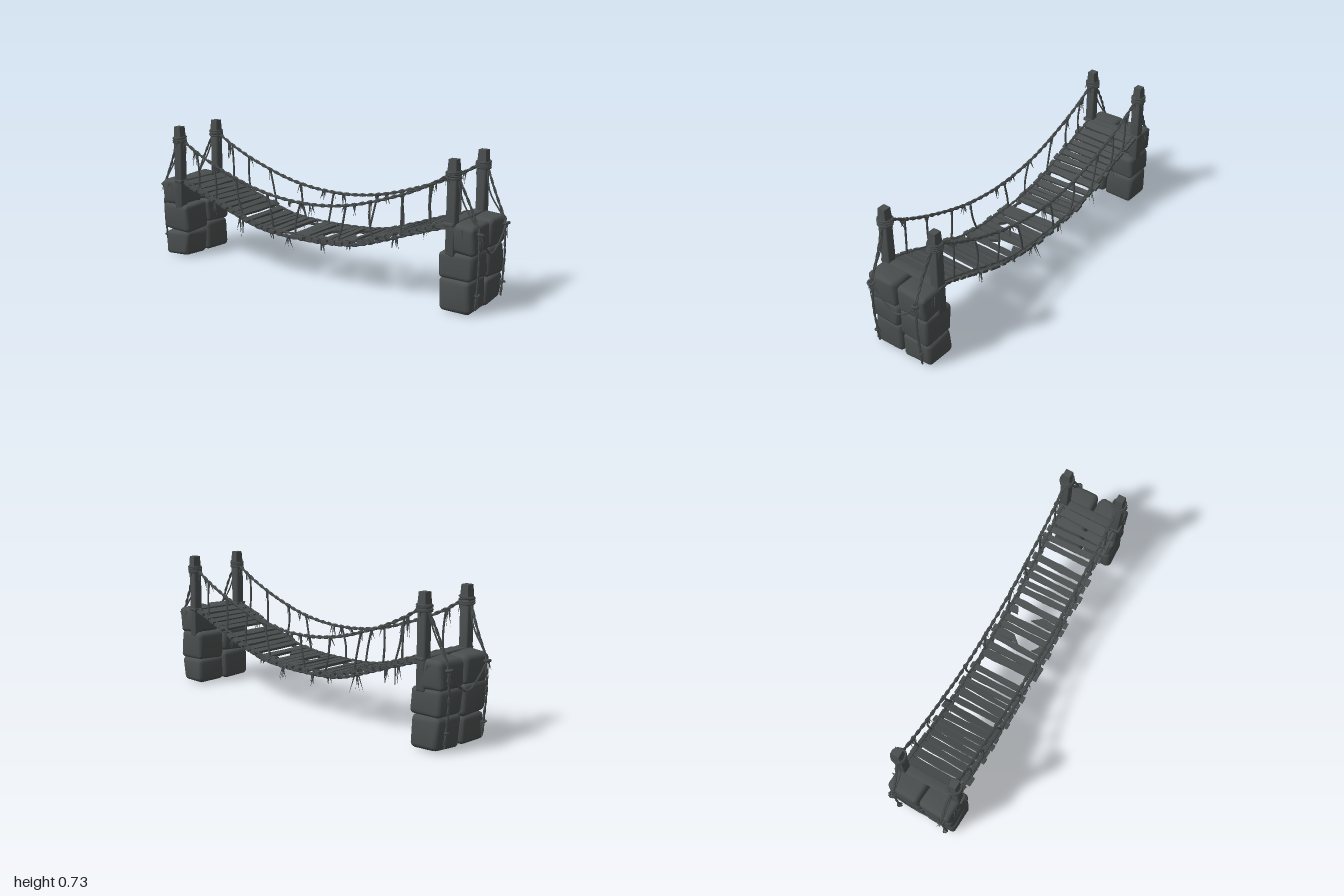
import * as THREE from 'three';
import { toCreasedNormals } from 'three/addons/utils/BufferGeometryUtils.js';
import { RoundedBoxGeometry } from 'three/addons/geometries/RoundedBoxGeometry.js';

const V = (x, y, z) => new THREE.Vector3(x, y, z);

export function createModel() {
  const model = new THREE.Group();
  const weathered = new THREE.MeshStandardMaterial({ color: 0x4a4e4e });
  weathered.name = 'weathered grey';
  weathered.side = THREE.DoubleSide;

  let seed = 7;
  const rnd = (a = 0, b = 1) => {
    seed = (seed * 16807) % 2147483647;
    return a + (b - a) * (seed / 2147483647);
  };

  function add(parent, geometry, name) {
    const mesh = new THREE.Mesh(geometry, weathered);
    mesh.name = name;
    parent.add(mesh);
    return mesh;
  }
  function group(name) {
    const g = new THREE.Group();
    g.name = name;
    model.add(g);
    return g;
  }

  // Smoothly uneven box, used for stone and timber
  function roughBox(w, h, d, radius, amount) {
    const geo = new RoundedBoxGeometry(w, h, d, 2, radius);
    const p = geo.attributes.position;
    const k = [rnd(0, 6), rnd(0, 6), rnd(0, 6)];
    for (let i = 0; i < p.count; i++) {
      const u = p.getX(i) / w * 5, v = p.getY(i) / h * 5, t = p.getZ(i) / d * 5;
      p.setXYZ(i,
        p.getX(i) + amount * Math.sin(v + t * 1.3 + k[0]),
        p.getY(i) + amount * Math.sin(u + t * 1.1 + k[1]),
        p.getZ(i) + amount * Math.sin(u * 1.2 + v + k[2]));
    }
    return toCreasedNormals(geo, 0.5);
  }

  // Rope along points, optionally twisted from two strands
  function rope(parent, points, radius, name, twisted = false) {
    const path = new THREE.CatmullRomCurve3(points);
    const length = path.getLength();
    if (!twisted) {
      const seg = Math.max(4, Math.round(length / 0.025));
      return add(parent, new THREE.TubeGeometry(path, seg, radius, 5), name);
    }
    const n = Math.round(length / 0.012);
    for (const phase of [0, Math.PI]) {
      const strand = [];
      for (let i = 0; i <= n; i++) {
        const a = phase + i * 0.8, q = path.getPointAt(i / n);
        strand.push(q.add(V(0, Math.cos(a) * radius * 0.6, Math.sin(a) * radius * 0.6)));
      }
      add(parent, new THREE.TubeGeometry(new THREE.CatmullRomCurve3(strand), n, radius * 0.65, 5), name);
    }
  }

  // Bunch of thin frayed fibres
  function tassel(parent, x, y, z, length, count = 4) {
    for (let i = 0; i < count; i++) {
      const l = length * rnd(0.5, 1);
      const m = add(parent, new THREE.ConeGeometry(0.005, l, 4).translate(0, -l / 2, 0).scale(1, 1, 0.6), 'frayedFibre');
      // taper toward the free end
      m.geometry.translate(0, l / 2, 0).rotateX(Math.PI).translate(0, -l / 2, 0);
      m.position.set(x + rnd(-0.01, 0.01), y, z + rnd(-0.006, 0.006));
      m.rotation.set(rnd(-0.2, 0.2), rnd(0, 3), rnd(-0.35, 0.35));
    }
  }
  function knot(parent, x, y, z, r) {
    const m = add(parent, new THREE.TorusGeometry(r, r * 0.55, 5, 8), 'knot');
    m.position.set(x, y, z);
    m.rotation.set(Math.PI / 2 + rnd(-0.3, 0.3), rnd(-0.3, 0.3), 0);
  }

  const mirrored = (pts) => [...pts.map(([x, y]) => [-x, y]).reverse(), [0, pts.base], ...pts];
  const deckHalf = [[0.14, 0.225], [0.3, 0.242], [0.48, 0.298], [0.66, 0.362], [0.84, 0.42]];
  deckHalf.base = 0.222;
  const railHalf = [[0.26, 0.435], [0.53, 0.515], [0.7, 0.587], [0.83, 0.66]];
  railHalf.base = 0.41;
  const deckLine = mirrored(deckHalf), railLine = mirrored(railHalf);
  const heightAt = (line, x) => {
    const c = new THREE.SplineCurve(line.map(([a, b]) => new THREE.Vector2(a, b)));
    let lo = 0, hi = 1;
    for (let i = 0; i < 22; i++) {
      const mid = (lo + hi) / 2;
      if (c.getPoint(mid).x < x) lo = mid; else hi = mid;
    }
    return c.getPoint(lo).y;
  };

  // Stone piers, posts and anchor ropes at both ends
  for (const s of [-1, 1]) {
    const pier = group(s < 0 ? 'rightPier' : 'leftPier');
    for (const t of [-1, 1]) {
      const split = t * s > 0 ? 0.165 : 0.14;
      const rows = [[0.004, split, 0.785, 0.948], [split, 0.295, 0.78, 0.958], [0.29, 0.43, 0.825, 0.964]];
      for (const [y0, y1, x0, x1] of rows) {
        const block = add(pier, roughBox(x1 - x0, y1 - y0, 0.172, 0.024, 0.004), 'stoneBlock');
        block.position.set(s * (x0 + x1) / 2, (y0 + y1) / 2, t * 0.09);
      }

      // Timber post with a narrower tapered head
      const px = s * 0.84, pz = t * 0.152;
      const shaft = add(pier, roughBox(0.049, 0.4, 0.05, 0.008, 0.002), 'post');
      shaft.position.set(px, 0.475, pz);
      const head = add(pier, new THREE.CylinderGeometry(0.028, 0.033, 0.064, 4).rotateY(Math.PI / 4).toNonIndexed(), 'postHead');
      head.geometry.computeVertexNormals();
      head.position.set(px, 0.698, pz);

      // Rope lashing round the post
      for (let i = 0; i < 4; i++) {
        const ring = add(pier, new THREE.TorusGeometry(0.035, 0.0055, 5, 10), 'postLashing');
        ring.position.set(px, 0.643 + i * 0.009, pz);
        ring.rotation.set(Math.PI / 2 + rnd(-0.12, 0.12), rnd(-0.12, 0.12), 0);
      }
      tassel(pier, px - s * 0.03, 0.65, pz, 0.07);
      tassel(pier, px, 0.65, pz + t * 0.032, 0.05, 3);

      // Stay from post to pier edge and down its outer face
      const az = t * 0.138;
      rope(pier, [V(px + s * 0.02, 0.655, pz), V(s * 0.915, 0.53, az), V(s * 0.97, 0.405, az)], 0.007, 'stayRope', true);
      rope(pier, [V(px + s * 0.02, 0.64, pz), V(s * 0.89, 0.53, az + 0.008), V(s * 0.955, 0.43, az + 0.006)], 0.004, 'stayRope');
      rope(pier, [V(s * 0.97, 0.41, az), V(s * 0.976, 0.25, az + 0.004), V(s * 0.968, 0.1, az), V(s * 0.962, 0.03, az)], 0.007, 'anchorRope', true);
      knot(pier, s * 0.978, 0.39, az, 0.0135);
      knot(pier, s * 0.972, 0.1, az, 0.009);
      tassel(pier, s * 0.978, 0.39, az, 0.09);
      tassel(pier, s * 0.968, 0.1, az, 0.08, 3);
      tassel(pier, s * 0.9, 0.41, t * 0.178, 0.06, 3);
    }
    // Rope swag between the two anchors
    rope(pier, [V(s * 0.978, 0.39, 0.138), V(s * 0.975, 0.32, 0.08), V(s * 0.973, 0.272, 0.01),
      V(s * 0.975, 0.31, -0.07), V(s * 0.978, 0.39, -0.138)], 0.006, 'anchorSwag', true);
  }

  // Deck planks [x, width]; a third value marks a snapped plank
  const deck = group('deck');
  const planks = [[-0.79, 0.05], [-0.735, 0.045], [-0.685, 0.035], [-0.645, 0.032], [-0.605, 0.032], [-0.565, 0.034],
    [-0.525, 0.034], [-0.48, 0.035], [-0.435, 0.04], [-0.375, 0.03], [-0.325, 0.045], [-0.28, 0.022], [-0.25, 0.026],
    [-0.205, 0.035], [-0.16, 0.03], [-0.06, 0.045], [-0.015, 0.036], [0.04, 0.03], [0.08, 0.04, 0.03], [0.125, 0.034],
    [0.17, 0.04], [0.225, 0.04, -0.05], [0.27, 0.036], [0.34, 0.034], [0.38, 0.032], [0.425, 0.036],
    [0.47, 0.034], [0.52, 0.04], [0.6, 0.03], [0.64, 0.034], [0.685, 0.034], [0.73, 0.036], [0.785, 0.05]];
  for (const [x, w, snap] of planks) {
    const slope = Math.atan2(heightAt(deckLine, x + 0.02) - heightAt(deckLine, x - 0.02), 0.04);
    const z0 = -rnd(0.158, 0.178), z1 = rnd(0.158, 0.178);
    const spans = snap === undefined ? [[z0, z1]] : [[z0, snap - 0.04], [snap + 0.04, z1]];
    for (const [a, b] of spans) {
      const geo = new THREE.BoxGeometry(w, 0.014, b - a, 1, 1, 4);
      const p = geo.attributes.position;
      for (let i = 0; i < p.count; i++) {
        const z = p.getZ(i);
        p.setX(i, p.getX(i) * (1 + 0.1 * Math.sin(z * 30 + x * 40)));
        // pointed splinter at the snapped end
        const inner = snap !== undefined && (Math.abs(a + b) > 0) && Math.abs(z + (a + b) / 2 - snap) < 0.045;
        if (inner && p.getX(i) > 0) p.setZ(i, z - Math.sign(z) * 0.05);
      }
      geo.computeVertexNormals();
      const plank = add(deck, toCreasedNormals(geo, 0.4), 'plank');
      plank.position.set(x, heightAt(deckLine, x) + 0.01, (a + b) / 2);
      plank.rotation.set(rnd(-0.02, 0.02), rnd(-0.03, 0.03), slope + rnd(-0.06, 0.06));
    }
  }
  // Sill plank on each pier
  for (const s of [-1, 1]) {
    const sill = add(deck, roughBox(0.05, 0.016, 0.37, 0.005, 0.001), 'sillPlank');
    sill.position.set(s * 0.835, 0.428, 0.003);
  }

  // Ropes along both sides, hangers and loose ends
  for (const t of [-1, 1]) {
    const side = group(t > 0 ? 'frontRopes' : 'backRopes');
    const line = (pts, dy, z) => pts.map(([x, y]) => V(x, y + dy, t * z));
    rope(side, line(railLine, 0, 0.15), 0.008, 'handrailRope', true);
    rope(side, line(deckLine, -0.004, 0.142), 0.009, 'deckRope', true);
    rope(side, line(deckLine, 0.019, 0.15), 0.006, 'deckBinding', true);

    const hangers = [[-0.72, -0.71], [-0.6, -0.59], [-0.45, -0.4], [-0.24, -0.2], [-0.025, -0.06],
      [0.25, 0.2], [0.39, 0.41], [0.57, 0.565], [0.72, 0.725]];
    for (const [xt, xb] of hangers) {
      const yt = heightAt(railLine, xt), yb = heightAt(deckLine, xb);
      rope(side, [V(xt, yt, t * 0.15), V((xt + xb) / 2 + rnd(-0.012, 0.012), (yt + yb) / 2, t * 0.153), V(xb, yb, t * 0.148)], 0.0055, 'hanger');
      knot(side, xt, yt, t * 0.15, 0.008);
      knot(side, xb, yb + 0.01, t * 0.148, 0.01);
      tassel(side, xt, yt, t * 0.15, 0.07, 3);
    }
    for (const [x, l] of [[-0.74, 0.11], [-0.59, 0.07], [-0.09, 0.06], [0.04, 0.09], [0.3, 0.07], [0.74, 0.08]])
      tassel(side, x, heightAt(railLine, x), t * 0.15, l);
    for (const [x, l] of [[-0.61, 0.1], [-0.42, 0.12], [-0.22, 0.05], [-0.11, 0.09], [0.11, 0.09], [0.27, 0.04], [0.53, 0.08]])
      tassel(side, x, heightAt(deckLine, x), t * 0.145, l, 6);
    // Lashings binding planks to the deck rope
    planks.forEach(([x], i) => {
      if (i % 2) return;
      const wrap = add(side, new THREE.TorusGeometry(0.015, 0.004, 4, 8), 'plankLashing');
      wrap.position.set(x + 0.02, heightAt(deckLine, x + 0.02) + 0.006, t * 0.146);
      wrap.rotation.y = Math.PI / 2 + rnd(-0.4, 0.4);
    });
  }
  return model;
}
